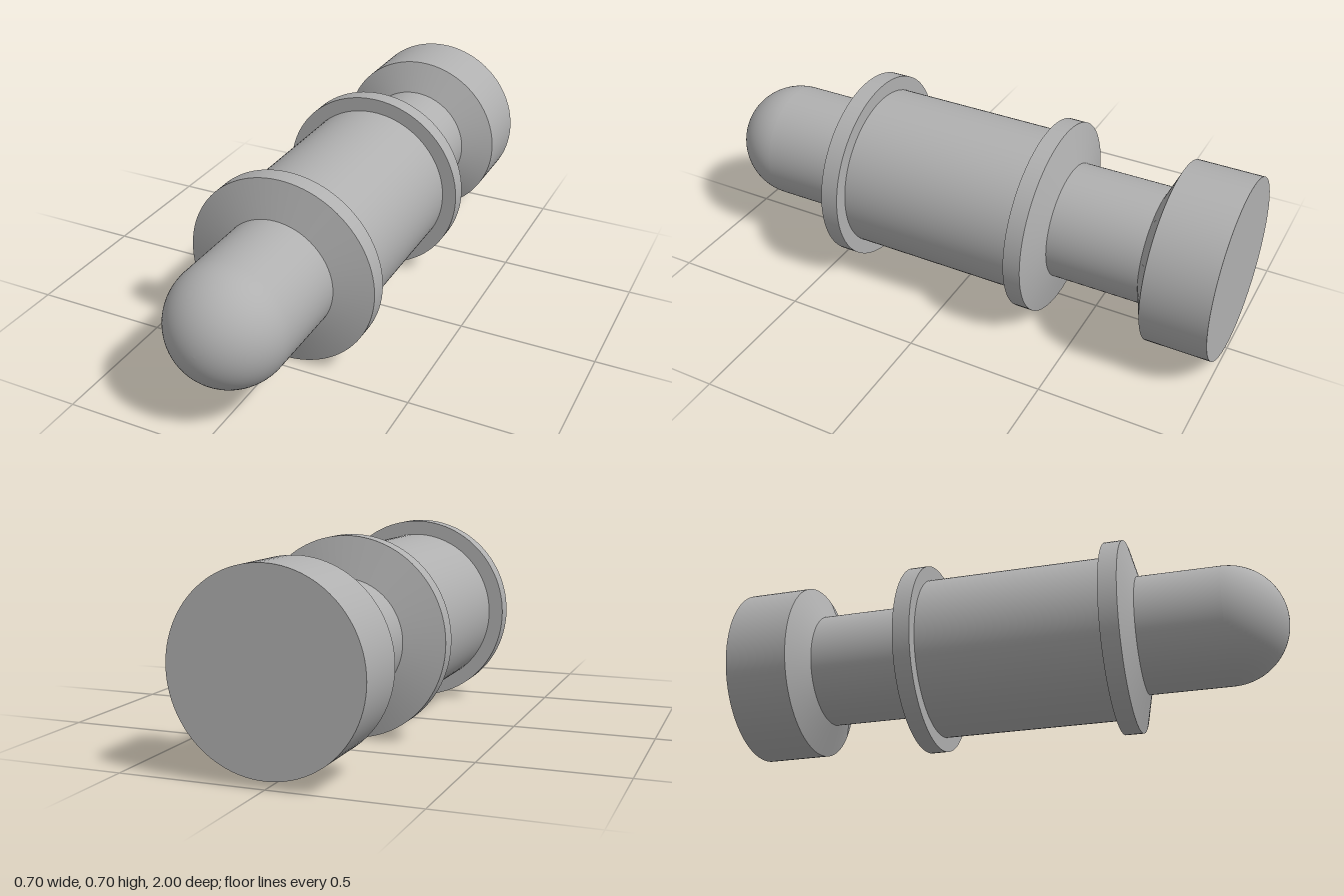
import * as THREE from 'three';
import { mergeGeometries } from 'three/addons/utils/BufferGeometryUtils.js';

const SEGMENTS = 96;
const CENTER_Y = 0.35;

// Turns one smooth profile of [radius, z] points, listed back to front, about the z axis.
function turned(points) {
  const profile = points.map(([r, z]) => new THREE.Vector2(r, z));
  return new THREE.LatheGeometry(profile, SEGMENTS).rotateX(Math.PI / 2);
}

// Turns each profile segment separately, keeping sharp edges between them.
function turnedSharp(points) {
  return mergeGeometries(points.slice(1).map((p, i) => turned([points[i], p])));
}

export function createModel() {
  const group = new THREE.Group();
  const metal = new THREE.MeshStandardMaterial({ color: 0xb0b0b0 });
  metal.name = 'grey metal';

  const add = (name, geometry) => {
    const mesh = new THREE.Mesh(geometry, metal);
    mesh.name = name;
    mesh.position.y = CENTER_Y;
    group.add(mesh);
  };

  // Rear head with its chamfer
  add('rearHead', turnedSharp([[0, -1], [0.324, -1], [0.324, -0.767], [0.21, -0.717]]));
  add('neck', turned([[0.21, -0.717], [0.21, -0.38]]));

  // Flanges either side of the barrel, each with a conical outer face
  add('rearFlange', turnedSharp([[0.21, -0.38], [0.35, -0.347], [0.35, -0.284], [0.297, -0.284]]));
  add('barrel', turned([[0.297, -0.284], [0.297, 0.385]]));
  add('frontFlange', turnedSharp([[0.297, 0.385], [0.35, 0.385], [0.35, 0.451], [0.215, 0.486]]));

  // Straight pin ending in a round nose
  add('pin', turned([[0.215, 0.486], [0.215, 0.785]]));
  const R = 0.215;
  const arc = [];
  for (let i = 0; i <= 24; i++) {
    const a = (i / 24) * Math.PI / 2;
    arc.push([i === 24 ? 0 : R * Math.cos(a), 0.785 + R * Math.sin(a)]);
  }
  add('roundNose', turned(arc));

  return group;
}
